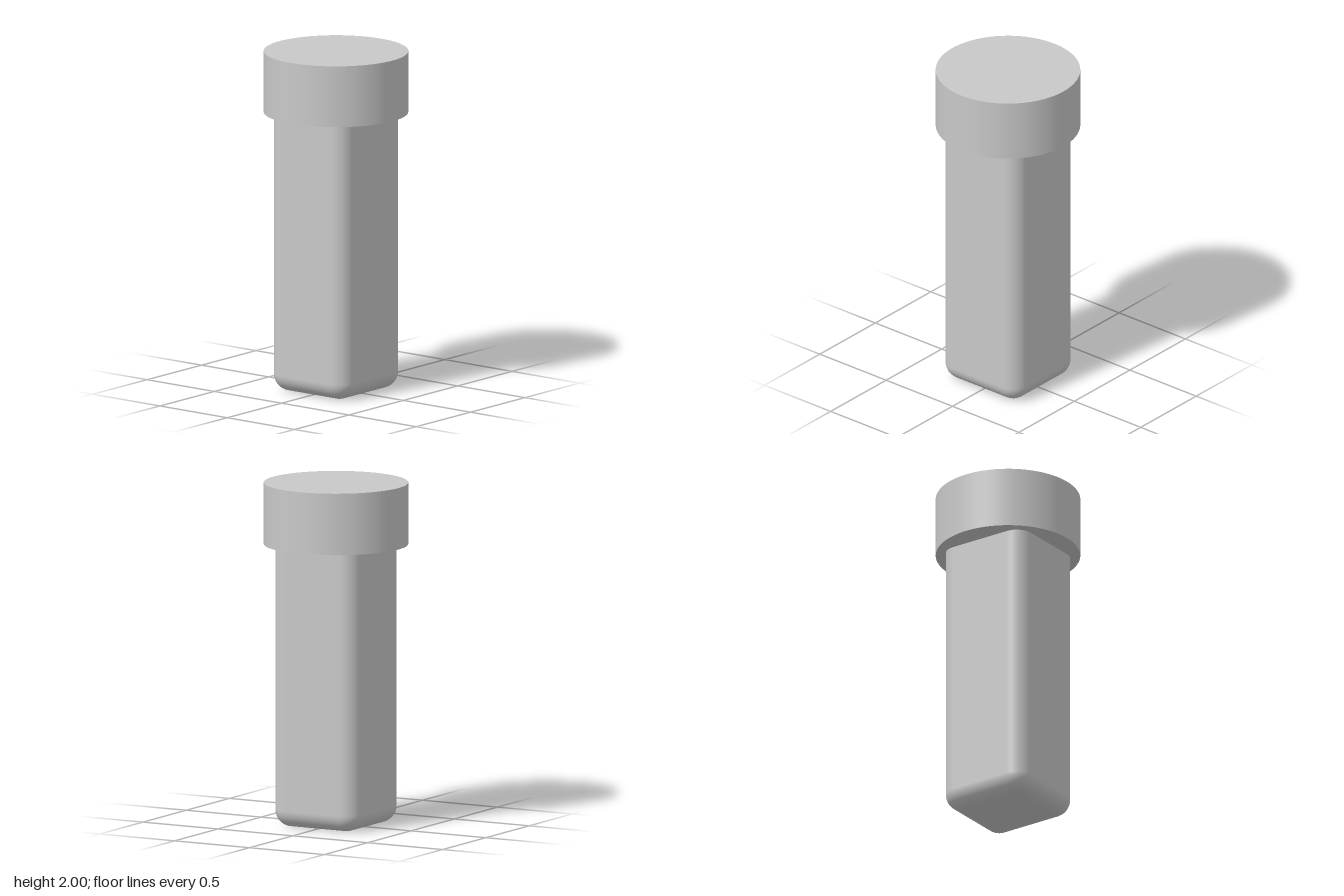
import * as THREE from 'three';
import { RoundedBoxGeometry } from 'three/addons/geometries/RoundedBoxGeometry.js';

export function createModel() {
  const group = new THREE.Group();
  const grey = new THREE.MeshStandardMaterial({ color: 0xc8c8c8 });
  grey.name = 'light grey';

  const add = (name, geometry, y) => {
    const mesh = new THREE.Mesh(geometry, grey);
    mesh.name = name;
    mesh.position.y = y;
    group.add(mesh);
  };

  // Rounded square shank; its rounded top is buried in the head
  const shankHeight = 1.8;
  add('shank', new RoundedBoxGeometry(0.58, shankHeight, 0.56, 8, 0.1), shankHeight / 2);

  // Round flat head
  const headBottom = 1.64;
  const headHeight = 2 - headBottom;
  add('head', new THREE.CylinderGeometry(0.418, 0.418, headHeight, 96), headBottom + headHeight / 2);

  return group;
}
